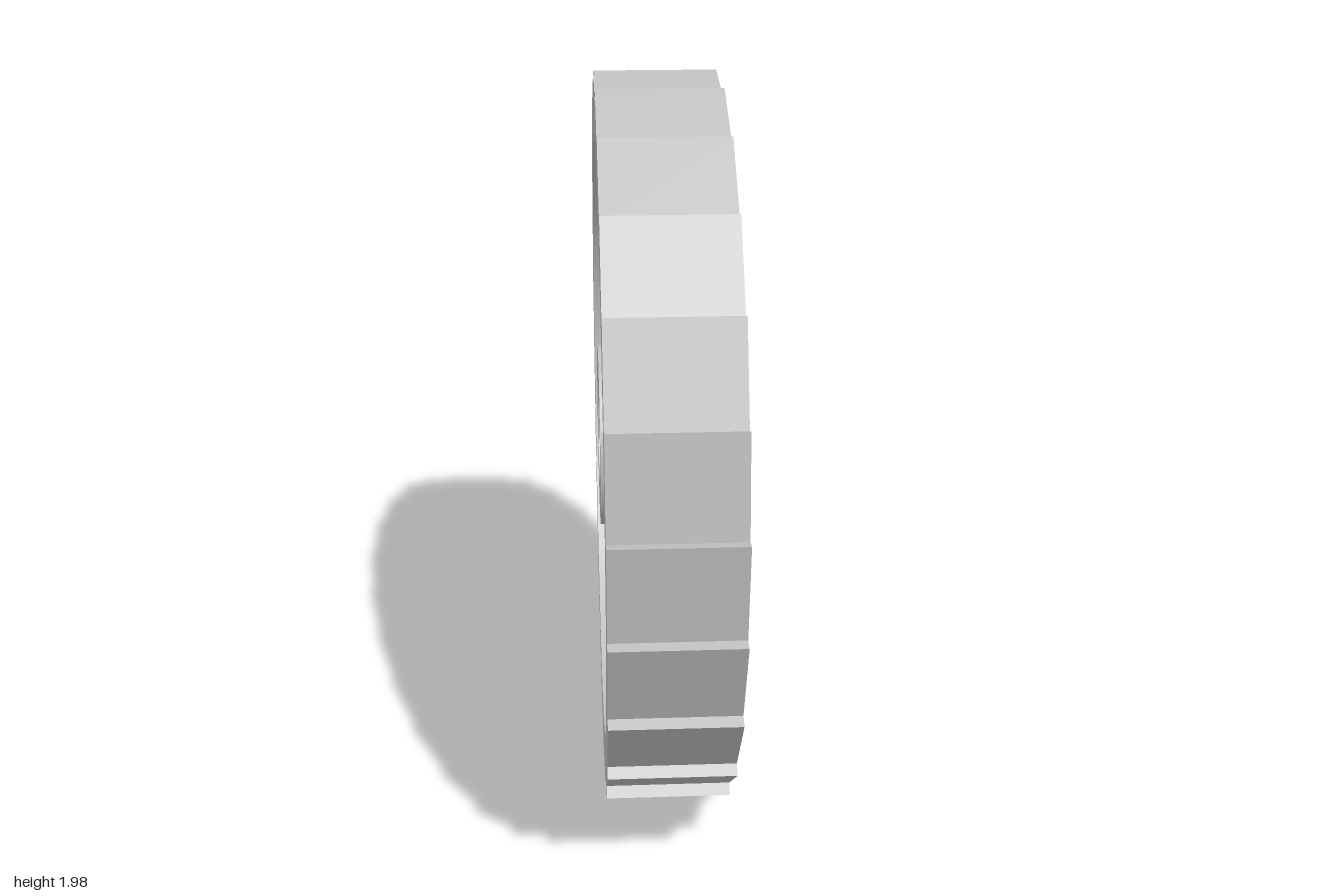
import * as THREE from 'three';
import { toCreasedNormals } from 'three/addons/utils/BufferGeometryUtils.js';

const TEETH = 24, TIP = 0.9966, ROOT = 0.964;
const RIM_INNER = 0.828, HUB = 0.25, BORE = 0.128;
const HALF_WIDTH = 0.163, WEB_BACK = -0.03, WEB_FRONT = 0.083;

const circle = (Type, r, x = 0, y = 0) => new Type().absarc(x, y, r, 0, Math.PI * 2, false);

// Extrudes a profile along the axle between two positions
function plate(name, shape, from, to, material) {
  const flat = new THREE.ExtrudeGeometry(shape, { depth: to - from, bevelEnabled: false, curveSegments: 96 });
  const mesh = new THREE.Mesh(toCreasedNormals(flat.translate(0, 0, from), 0.2), material);
  mesh.name = name;
  return mesh;
}

export function createModel() {
  const steel = new THREE.MeshStandardMaterial({ color: 0xc0c0c0 });
  steel.name = 'plain grey steel';

  // Saw-toothed rim: each tooth slopes from its tip down to the next step
  const step = (Math.PI * 2) / TEETH;
  const outline = [];
  for (let i = 0; i < TEETH; i++) {
    for (const [r, a] of [[TIP, i * step], [ROOT, (i + 1) * step]]) {
      outline.push(new THREE.Vector2(r * Math.cos(a), r * Math.sin(a)));
    }
  }
  const rim = new THREE.Shape(outline);
  rim.holes.push(circle(THREE.Path, RIM_INNER));

  // Thin web with two opposite pairs of round holes
  const web = circle(THREE.Shape, RIM_INNER + 0.005);
  web.holes.push(circle(THREE.Path, HUB - 0.005));
  for (const degrees of [120, 180, 300, 360]) {
    const a = THREE.MathUtils.degToRad(degrees);
    web.holes.push(circle(THREE.Path, 0.167, 0.537 * Math.cos(a), 0.537 * Math.sin(a)));
  }

  // Hub with a bore and a square keyway
  const hub = circle(THREE.Shape, HUB);
  const keyHalf = 0.036, keyReach = -0.158;
  const a = Math.PI - Math.asin(keyHalf / BORE);
  const bore = new THREE.Path();
  bore.absarc(0, 0, BORE, -a, a, false);
  bore.lineTo(keyReach, keyHalf);
  bore.lineTo(keyReach, -keyHalf);
  bore.closePath();
  hub.holes.push(bore);

  const wheel = new THREE.Group();
  wheel.name = 'ratchetWheel';
  wheel.add(
    plate('toothedRim', rim, -HALF_WIDTH, HALF_WIDTH, steel),
    plate('web', web, WEB_BACK, WEB_FRONT, steel),
    plate('hub', hub, -HALF_WIDTH, HALF_WIDTH, steel),
  );

  // Half a tooth of spin, then the axle turned almost onto x
  wheel.rotation.set(0, Math.PI / 2 - 0.112, -step / 2);
  wheel.position.y = TIP * Math.cos(step / 2);

  const model = new THREE.Group();
  model.name = 'ratchetWheelModel';
  model.add(wheel);
  return model;
}
